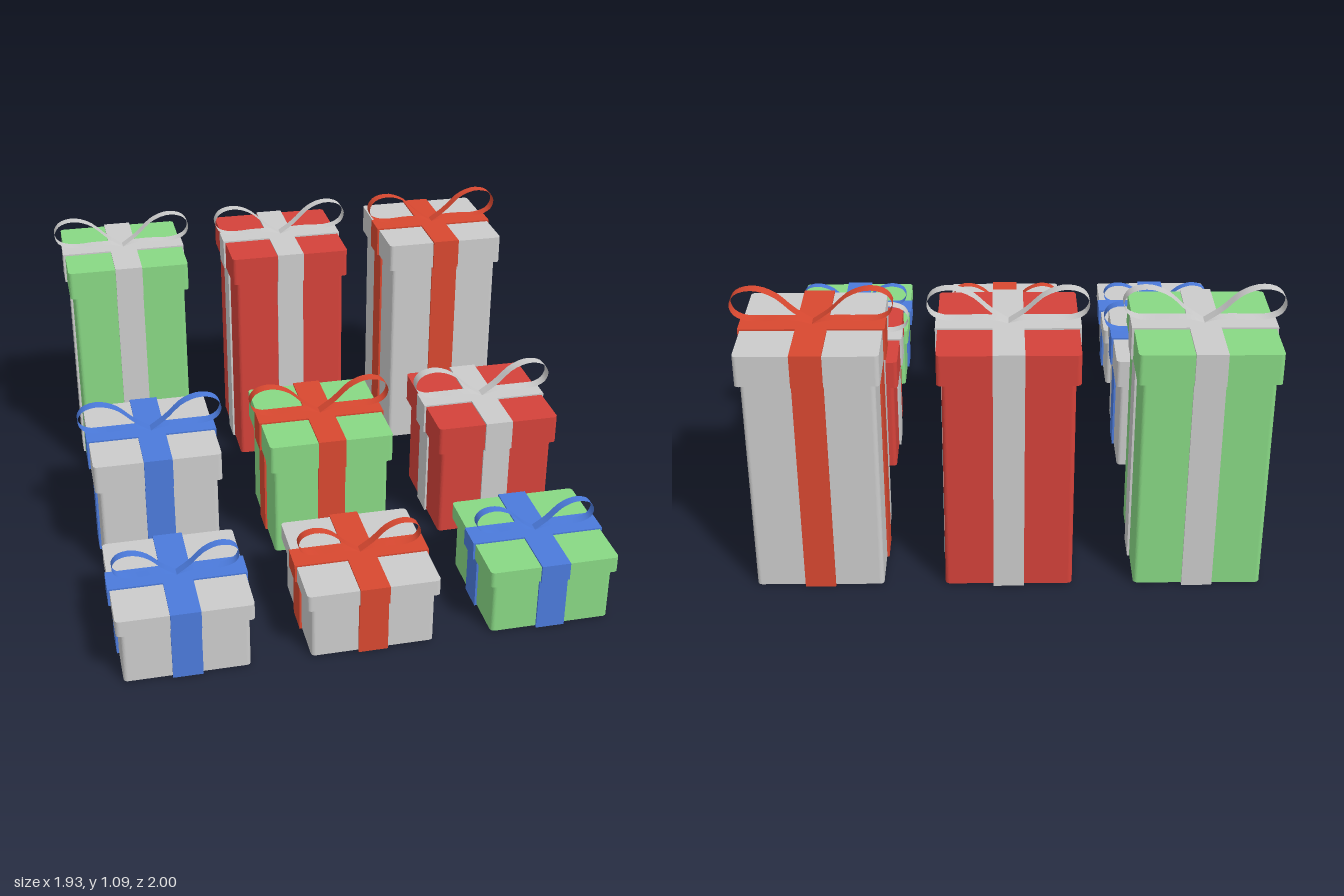
import * as THREE from 'three';

const GREY = 0xcccccc, GREEN = 0x88d884, RED = 0xd4423a, RIBBON_RED = 0xd84830, BLUE = 0x4b7adb;

const makeMaterial = (color, side = THREE.FrontSide) => new THREE.MeshStandardMaterial({ color, side });

function addMesh(parent, name, geometry, material) {
  const mesh = new THREE.Mesh(geometry, material);
  mesh.name = name;
  parent.add(mesh);
  return mesh;
}

// Square block with rounded upright edges, from y0 to y1
function roundedBlock(half, y0, y1, r = 0.016) {
  const s = new THREE.Shape();
  const k = half - r;
  s.absarc(k, k, r, 0, Math.PI / 2);
  s.absarc(-k, k, r, Math.PI / 2, Math.PI);
  s.absarc(-k, -k, r, Math.PI, Math.PI * 1.5);
  s.absarc(k, -k, r, Math.PI * 1.5, Math.PI * 2);
  s.closePath();
  const g = new THREE.ExtrudeGeometry(s, { depth: y1 - y0, bevelEnabled: false, curveSegments: 4 });
  return g.rotateX(-Math.PI / 2).translate(0, y0, 0);
}

// Two ribbon bands crossing around a block
function addRibbonCross(parent, name, half, y0, y1, material) {
  for (const [suffix, w, d] of [['Across', half * 2, 0.11], ['Along', 0.11, half * 2]]) {
    const g = new THREE.BoxGeometry(w, y1 - y0, d).translate(0, (y0 + y1) / 2, 0);
    addMesh(parent, name + suffix, g, material);
  }
}

// One bow loop: a thin strip following a closed teardrop curve
function bowLoop(side, width) {
  const path = new THREE.CatmullRomCurve3([
    [0, 0.003], [0.06, 0.045], [0.13, 0.108], [0.2, 0.131], [0.26, 0.116], [0.283, 0.078],
    [0.268, 0.037], [0.215, 0.015], [0.11, 0.017], [0.04, 0.014], [0, 0.003],
  ].map(([x, y]) => new THREE.Vector3(x * side, y, 0)));
  const steps = 32;
  const g = new THREE.PlaneGeometry(1, width, steps, 1);
  const p = g.attributes.position;
  for (let i = 0; i < p.count; i++) {
    const q = path.getPoint(p.getX(i) + 0.5);
    p.setXYZ(i, q.x, q.y, p.getY(i));
  }
  g.computeVertexNormals();
  return g;
}

function createGift(name, height, lidHeight, bowScale, boxColor, ribbonColor) {
  const gift = new THREE.Group();
  gift.name = name;
  const paper = makeMaterial(boxColor);
  const ribbon = makeMaterial(ribbonColor);
  const lidY = height - lidHeight;

  addMesh(gift, 'boxBody', roundedBlock(0.23, 0.006, lidY + 0.01), paper);
  addMesh(gift, 'lid', roundedBlock(0.247, lidY, height), paper);
  addRibbonCross(gift, 'bodyRibbon', 0.238, 0, lidY, ribbon);
  addRibbonCross(gift, 'lidRibbon', 0.255, lidY - 0.002, height + 0.006, ribbon);

  // Bow standing on the lid
  const bow = new THREE.Group();
  bow.name = 'bow';
  bow.position.y = height + 0.006;
  bow.scale.set(bowScale, bowScale, bowScale);
  const bowMaterial = makeMaterial(ribbonColor, THREE.DoubleSide);
  addMesh(bow, 'leftLoop', bowLoop(1, 0.045), bowMaterial);
  addMesh(bow, 'rightLoop', bowLoop(-1, 0.045), bowMaterial);
  gift.add(bow);
  return gift;
}

export function createModel() {
  const model = new THREE.Group();
  model.name = 'giftBoxes';

  // Three rows: tall at the back, medium, small at the front
  const rows = [
    { name: 'tallGift', z: -0.745, height: 0.953, lid: 0.115, bow: 1,
      colors: [[GREEN, GREY], [RED, GREY], [GREY, RIBBON_RED]] },
    { name: 'mediumGift', z: 0.055, height: 0.497, lid: 0.115, bow: 1,
      colors: [[GREY, BLUE], [GREEN, RIBBON_RED], [RED, GREY]] },
    { name: 'smallGift', z: 0.745, height: 0.28, lid: 0.063, bow: 0.82,
      colors: [[GREY, BLUE], [GREY, RIBBON_RED], [GREEN, BLUE]] },
  ];
  const columns = ['Right', 'Middle', 'Left'];
  for (const row of rows) {
    row.colors.forEach(([box, ribbon], i) => {
      const gift = createGift(row.name + columns[i], row.height, row.lid, row.bow, box, ribbon);
      gift.position.set((i - 1) * 0.683, 0, row.z);
      model.add(gift);
    });
  }
  return model;
}
